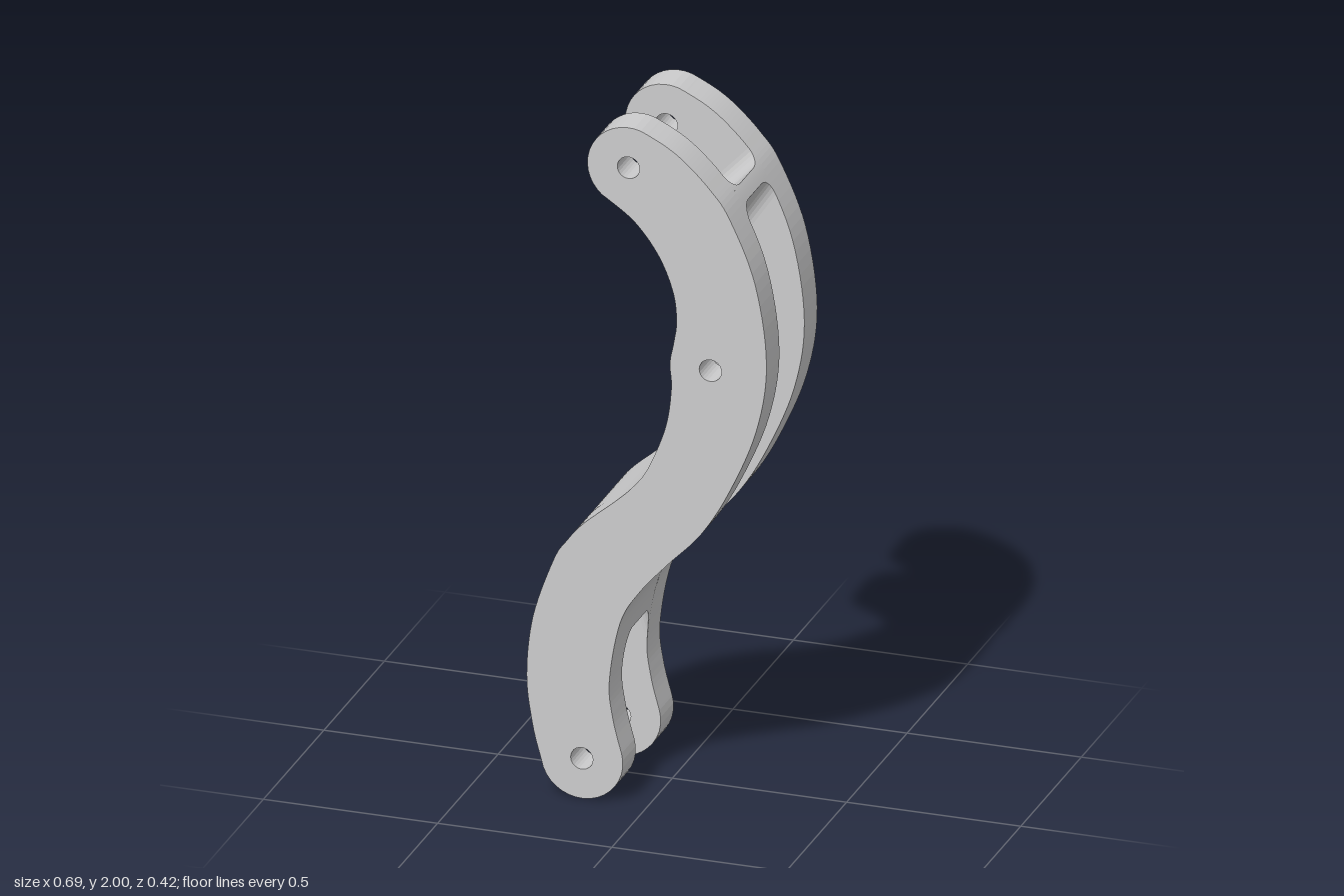
import * as THREE from 'three';

const HALF_GAP = 0.103, HALF_WIDTH = 0.21, FILLET = 0.047;
const V = (x, y) => new THREE.Vector2(x, y);
const curve = (pts) => new THREE.SplineCurve(pts.map(([x, y]) => V(x, y)));

// long edges of the S-shaped arm, both running from top to bottom
const leftEdge = curve([
  [-0.112, 1.782], [-0.034, 1.724], [0.034, 1.634], [0.075, 1.533], [0.085, 1.448],
  [0.077, 1.385], [0.066, 1.322], [0.07, 1.247], [0.053, 1.13], [0.003, 1.003],
  [-0.04, 0.942], [-0.09, 0.893], [-0.183, 0.813], [-0.23, 0.757], [-0.268, 0.695],
  [-0.327, 0.52], [-0.345, 0.345], [-0.328, 0.2], [-0.303, 0.1]]);
const rightEdge = curve([
  [0, 1.988], [0.06, 1.957], [0.114, 1.917], [0.18, 1.851], [0.236, 1.773], [0.31, 1.59],
  [0.343, 1.357], [0.314, 1.157], [0.236, 0.965], [0.155, 0.829], [0.06, 0.727],
  [-0.02, 0.635], [-0.077, 0.535], [-0.108, 0.36], [-0.098, 0.25], [-0.073, 0.15]]);

const topPin = V(-0.053, 1.883), midPin = V(0.182, 1.317), bottomPin = V(-0.187, 0.12);

function arc(c, r, from, to, n) {
  return Array.from({ length: n - 1 }, (_, i) => {
    const a = THREE.MathUtils.degToRad(from + (to - from) * (i + 1) / n);
    return V(c.x + r * Math.cos(a), c.y + r * Math.sin(a));
  });
}

// full arm outline with three pin holes
function sidePlateGeometry() {
  const shape = new THREE.Shape([
    ...leftEdge.getPoints(126),
    ...arc(bottomPin, 0.118, 190, 375, 18),
    ...rightEdge.getPoints(105).reverse(),
    ...arc(topPin, 0.118, 63, 240, 18)]);
  for (const p of [topPin, midPin, bottomPin]) {
    shape.holes.push(new THREE.Path().absarc(p.x, p.y, 0.032, 0, Math.PI * 2, true));
  }
  return new THREE.ExtrudeGeometry(shape, {
    depth: HALF_WIDTH - HALF_GAP, bevelEnabled: false, curveSegments: 12 });
}

// parameter where an edge crosses the shifted line, near a given point
function crossing(edge, near, normal, shift) {
  const n = 400;
  let best = 0, bestDist = Infinity, prev = null;
  for (let i = 0; i <= n; i++) {
    const p = edge.getPoint(i / n);
    const d = p.clone().sub(near).dot(normal) - shift;
    if (prev !== null && prev * d <= 0 && p.distanceTo(near) < bestDist) {
      bestDist = p.distanceTo(near);
      best = (i - d / (d - prev)) / n;
    }
    prev = d;
  }
  return best;
}

// solid web between the plates; its two slanted ends flare into the plates
function bridgeGeometry(top, bottom) {
  const steps = 40;
  const cut = ([l, r], shift) => {
    const normal = V(l.y - r.y, r.x - l.x).normalize();
    return [crossing(leftEdge, l, normal, shift), crossing(rightEdge, r, normal, shift)];
  };
  const zs = [];
  for (let i = 0; i <= 7; i++) zs.push(-HALF_GAP + FILLET * (1 - Math.cos(i / 7 * Math.PI / 2)));
  zs.push(...zs.map((z) => -z).reverse());

  const rings = zs.map((z) => {
    const u = Math.max(0, FILLET - (HALF_GAP - Math.abs(z)));
    const flare = FILLET - Math.sqrt(Math.max(0, FILLET * FILLET - u * u));
    const [l0, r0] = cut(top, flare), [l1, r1] = cut(bottom, -flare);
    const ring = [];
    for (let i = 0; i <= steps; i++) ring.push(leftEdge.getPoint(l0 + (l1 - l0) * i / steps));
    for (let i = 0; i <= steps; i++) ring.push(rightEdge.getPoint(r1 + (r0 - r1) * i / steps));
    return ring.map((p) => [p.x, p.y, z]);
  });

  const pos = [], count = rings[0].length;
  for (let k = 0; k < rings.length - 1; k++) {
    for (let i = 0; i < count; i++) {
      const j = (i + 1) % count;
      const a = rings[k][i], b = rings[k][j], c = rings[k + 1][j], d = rings[k + 1][i];
      pos.push(...a, ...b, ...c, ...a, ...c, ...d);
    }
  }
  const g = new THREE.BufferGeometry();
  g.setAttribute('position', new THREE.Float32BufferAttribute(pos, 3));
  g.computeVertexNormals();
  return g;
}

export function createModel() {
  const group = new THREE.Group();
  group.name = 'curvedLinkArm';
  const metal = new THREE.MeshStandardMaterial({ color: 0xcccccd });
  metal.name = 'light grey metal';
  const add = (name, geometry, z = 0) => {
    const mesh = new THREE.Mesh(geometry, metal);
    mesh.name = name;
    mesh.position.z = z;
    group.add(mesh);
  };

  // two side plates
  const plate = sidePlateGeometry();
  add('frontPlate', plate, HALF_GAP);
  add('backPlate', plate, -HALF_WIDTH);

  // webs that leave a fork at each end and a window in the middle
  add('upperBridge', bridgeGeometry(
    [V(0.04, 1.63), V(0.21, 1.808)], [V(0.077, 1.533), V(0.238, 1.77)]));
  add('lowerBridge', bridgeGeometry(
    [V(0.026, 1.047), V(0.113, 0.776)], [V(-0.205, 0.788), V(-0.098, 0.468)]));
  return group;
}
